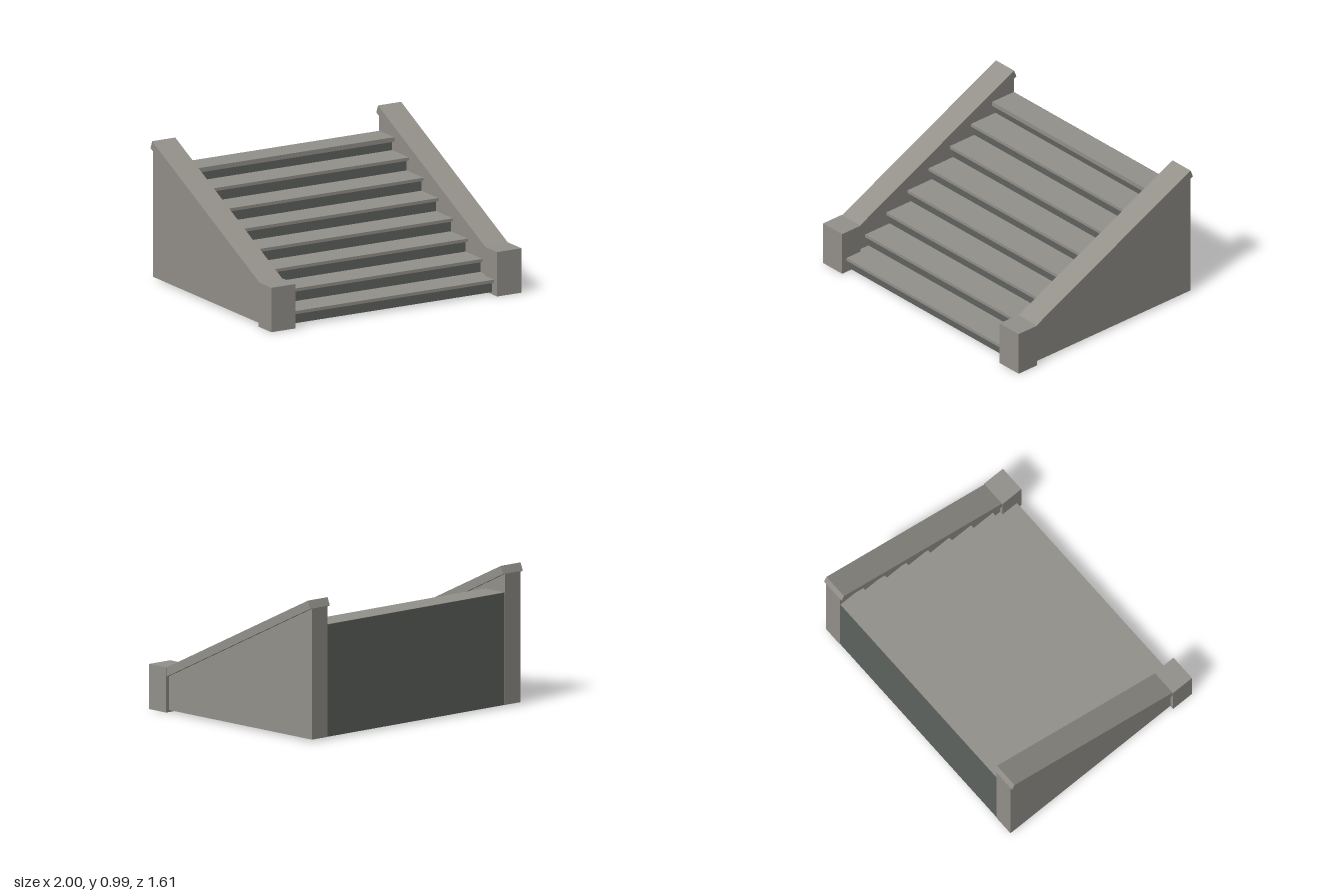
import * as THREE from 'three';

const stone = new THREE.MeshStandardMaterial({ color: 0x94918b });
stone.name = 'light stone';
const darkStone = new THREE.MeshStandardMaterial({ color: 0x5f635e });
darkStone.name = 'dark stone';

// Extrudes a side profile of [z, y] points across x from x0 to x1.
function sideExtrude(name, points, x0, x1, material) {
  const shape = new THREE.Shape(points.map(([z, y]) => new THREE.Vector2(z, y)));
  const geometry = new THREE.ExtrudeGeometry(shape, { depth: x1 - x0, bevelEnabled: false });
  geometry.rotateY(-Math.PI / 2);
  geometry.translate(x1, 0, 0);
  const mesh = new THREE.Mesh(geometry, material);
  mesh.name = name;
  return mesh;
}

function box(name, [x0, x1], [y0, y1], [z0, z1], material) {
  const mesh = new THREE.Mesh(new THREE.BoxGeometry(x1 - x0, y1 - y0, z1 - z0), material);
  mesh.position.set((x0 + x1) / 2, (y0 + y1) / 2, (z0 + z1) / 2);
  mesh.name = name;
  return mesh;
}

export function createModel() {
  const model = new THREE.Group();
  model.name = 'staircase';

  const steps = 8, rise = 0.0985, run = 0.195;
  const base = 0.015, back = -0.8, inner = 0.83, slab = 0.022, nosing = 0.03;

  // Stepped core with dark risers, and a light slab on every step
  const profile = [[back, base], [0.765 - nosing, base]];
  const treads = new THREE.Group();
  treads.name = 'treads';
  for (let i = 0; i < steps; i++) {
    const top = 0.11 + i * rise;
    const front = 0.765 - i * run;
    const thickness = i === steps - 1 ? 0.032 : slab;
    const rear = i === steps - 1 ? back + 0.003 : front - run - nosing;
    profile.push([front - nosing, top - thickness]);
    profile.push([i === steps - 1 ? rear : front - run - nosing, top - thickness]);
    treads.add(box('tread', [-inner, inner], [top - thickness, top], [rear, front], stone));
  }
  // Thin lip of the back wall behind the top tread
  const topY = 0.11 + (steps - 1) * rise;
  profile.push([back + 0.003, topY - 0.001], [back, topY - 0.001]);
  model.add(sideExtrude('stairCore', profile, -inner, inner, darkStone), treads);

  // Side walls, sloping rails and front posts
  for (const [side, s] of [['left', 1], ['right', -1]]) {
    const span = (a, b) => (s > 0 ? [a, b] : [-b, -a]);
    const wall = [[-0.803, base], [0.66, base], [0.66, 0.25], [0.635, 0.25], [-0.803, 0.93]];
    const rail = [[0.635, 0.25], [0.635, 0.315], [-0.783, 0.985], [-0.805, 0.93]];
    model.add(
      sideExtrude(side + 'Wall', wall, ...span(inner, 0.975), stone),
      sideExtrude(side + 'Rail', rail, ...span(0.81, 0.995), stone),
      box(side + 'Post', span(0.805, 1), [0, 0.315], [0.635, 0.805], stone),
    );
  }
  return model;
}
